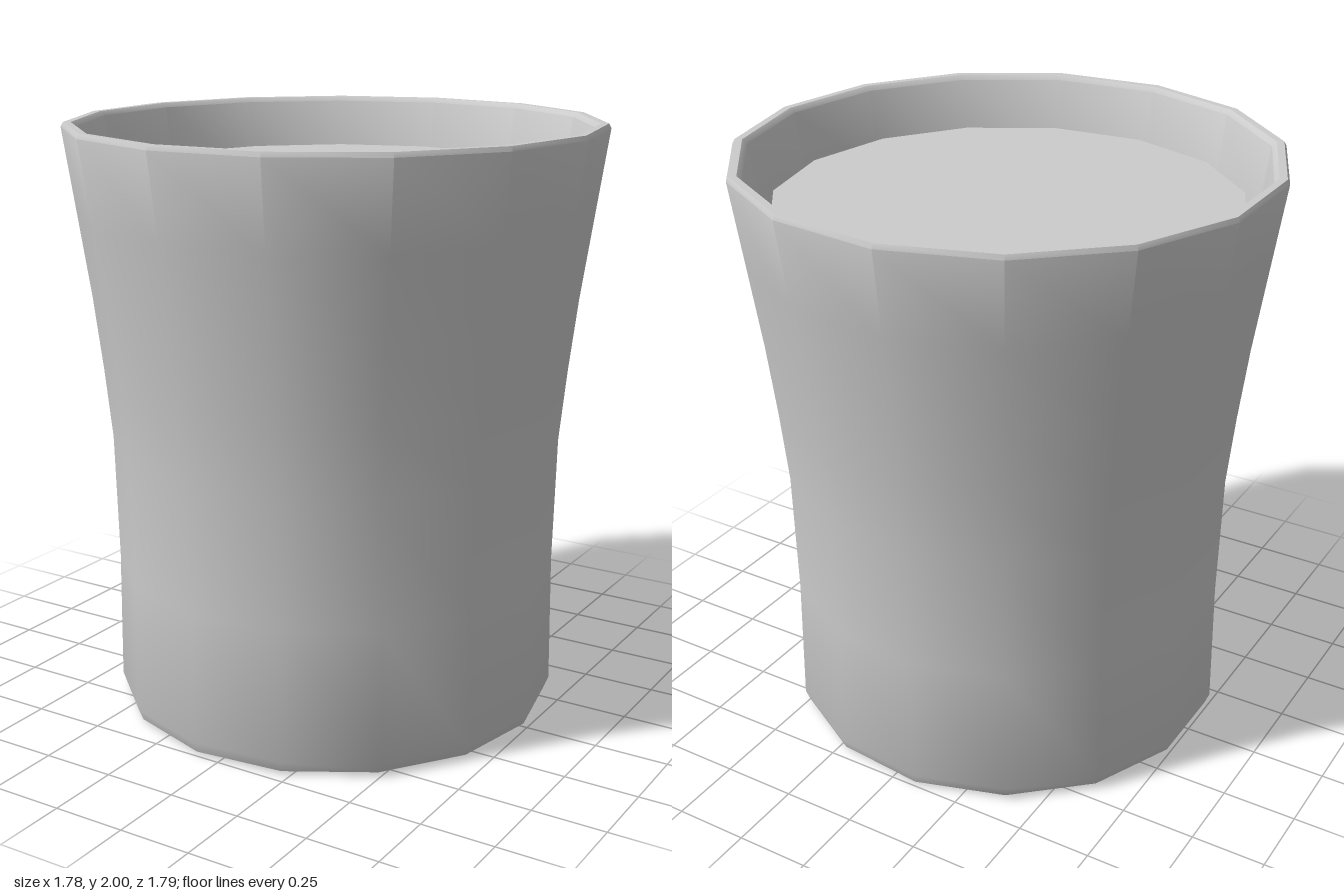
import * as THREE from 'three';
import { toCreasedNormals } from 'three/addons/utils/BufferGeometryUtils.js';

const SIDES = 15;

// Spin a [radius, height] profile into a 15-sided body with a corner on +x
function turned(name, profile, material) {
  const points = profile.map(([r, y]) => new THREE.Vector2(r, y));
  const lathe = new THREE.LatheGeometry(points, SIDES, Math.PI / 2);
  const mesh = new THREE.Mesh(toCreasedNormals(lathe, 0.65), material);
  mesh.name = name;
  return mesh;
}

export function createModel() {
  const group = new THREE.Group();
  group.name = 'tumbler';
  const material = new THREE.MeshStandardMaterial({ color: 0xcccccc });

  // Flared wall heights and outer radii, from base to rim
  const wall = [
    [0.762, 0.05], [0.756, 0.5], [0.765, 0.93], [0.788, 1.17],
    [0.817, 1.42], [0.857, 1.7], [0.898, 1.985],
  ];

  // Cup: bevelled base, outer wall, rim, inner wall, inner floor
  const inner = wall.slice(1, -1).reverse().map(([r, y]) => [r - 0.048, y]);
  group.add(turned('cup', [
    [0, 0], [0.72, 0], [0.747, 0.012], ...wall,
    [0.89, 2], [0.865, 2], [0.85, 1.985],
    ...inner, [0.705, 0.1], [0, 0.1],
  ], material));

  // Drink: solid body inside the wall with a flat top
  group.add(turned('drink', [
    [0, 0.11], [0.69, 0.11], [0.695, 0.5], [0.705, 0.93],
    [0.75, 1.42], [0.774, 1.83], [0, 1.83],
  ], material));

  // Centre the odd-sided outline
  group.children.forEach((part) => { part.position.x = -0.01; });
  return group;
}
